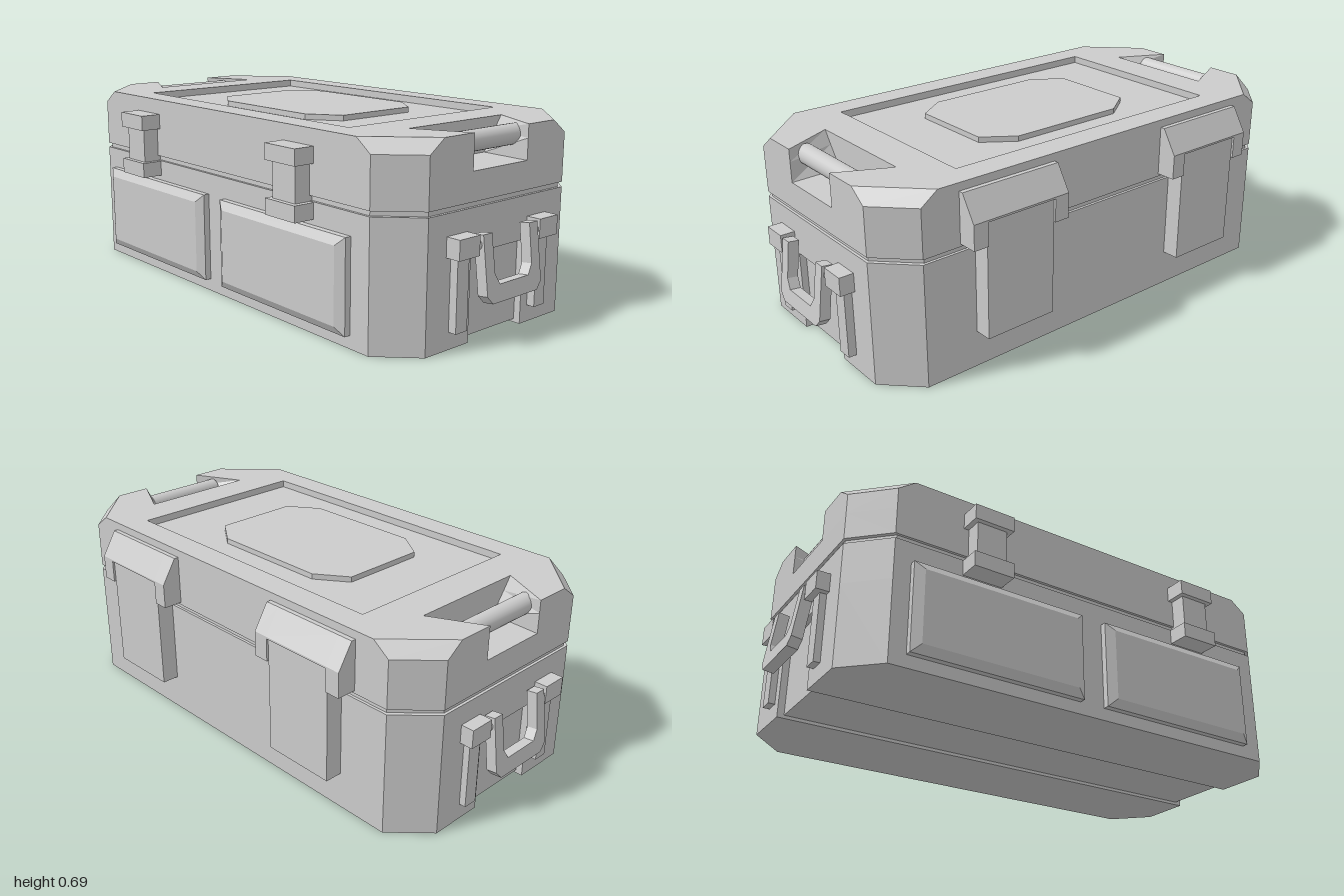
import * as THREE from 'three';

const mat = new THREE.MeshStandardMaterial({ color: 0xcccccc, flatShading: true });
const smooth = new THREE.MeshStandardMaterial({ color: 0xcccccc });
const HX = 0.921, HZ = 0.462; // half width and depth of the body

function add(parent, name, geo, material = mat) {
  const m = new THREE.Mesh(geo, material);
  m.name = name;
  parent.add(m);
  return m;
}

// box given by its min and max on every axis
function box(parent, name, x0, x1, y0, y1, z0, z1) {
  const g = new THREE.BoxGeometry(x1 - x0, y1 - y0, z1 - z0);
  return add(parent, name, g.translate((x0 + x1) / 2, (y0 + y1) / 2, (z0 + z1) / 2));
}

const toShape = pts => new THREE.Shape(pts.map(p => new THREE.Vector2(p[0], p[1])));

// plan outline (x, -z) pulled up from y0 to y1
function slab(pts, y0, y1) {
  const g = new THREE.ExtrudeGeometry(toShape(pts), { depth: y1 - y0, bevelEnabled: false });
  return g.rotateX(-Math.PI / 2).translate(0, y0, 0);
}

// flat face looking up at height y
function cap(pts, y, hole) {
  const s = toShape(pts);
  if (hole) s.holes.push(toShape(hole));
  return new THREE.ShapeGeometry(s).rotateX(-Math.PI / 2).translate(0, y, 0);
}

// side walls through plan outlines at rising heights: [[y, pts], ...]
function walls(levels) {
  const pos = [];
  for (let k = 0; k + 1 < levels.length; k++) {
    const [y0, lo] = levels[k], [y1, hi] = levels[k + 1];
    lo.forEach((p, i) => {
      const j = (i + 1) % lo.length;
      const a = [p[0], y0, -p[1]], b = [lo[j][0], y0, -lo[j][1]];
      const c = [hi[j][0], y1, -hi[j][1]], d = [hi[i][0], y1, -hi[i][1]];
      pos.push(...a, ...b, ...c, ...a, ...c, ...d);
    });
  }
  const g = new THREE.BufferGeometry();
  g.setAttribute('position', new THREE.Float32BufferAttribute(pos, 3));
  g.computeVertexNormals();
  return g;
}

const rect = (x, z) => [[x, -z], [x, z], [-x, z], [-x, -z]];
const octagon = (x, z, cx, cz) => [
  [x, -z + cz], [x, z - cz], [x - cx, z], [-x + cx, z],
  [-x, z - cz], [-x, -z + cz], [-x + cx, -z], [x - cx, -z]];

// lid outline with a flared notch in both ends
function notched(c, flare) {
  const half = [[HX, -HZ + c], [HX, -0.135], [0.73, -flare], [0.73, flare],
    [HX, 0.135], [HX, HZ - c], [HX - c, HZ]];
  const first = [HX - c, -HZ];
  const right = [first, ...half];
  return [...right, ...right.map(p => [-p[0], -p[1]])];
}

function buildBase(g) {
  const half = [[HX, 0.134], [HX, HZ - 0.126], [HX - 0.126, HZ],
    [-HX + 0.126, HZ], [-HX, HZ - 0.126], [-HX, 0.134]];
  add(g, 'baseBackHalf', slab(half, 0, 0.3));
  add(g, 'baseFrontHalf', slab(half.map(p => [p[0], -p[1]]), 0, 0.3));
  box(g, 'baseCore', -HX + 0.025, HX - 0.025, 0.012, 0.3, -0.134, 0.134);
  add(g, 'baseRim', slab(octagon(HX, HZ, 0.126, 0.126), 0.3, 0.452));
  add(g, 'seam', slab(octagon(HX - 0.01, HZ - 0.01, 0.126, 0.126), 0.45, 0.472));
}

function buildLid(g) {
  add(g, 'lidBody', slab(octagon(HX, HZ, 0.126, 0.126), 0.47, 0.57));
  const top = notched(0.19, 0.23);
  add(g, 'lidWalls', walls([
    [0.57, notched(0.126, 0.145)], [0.645, notched(0.126, 0.198)], [0.692, top]]));
  // sunken panel with a raised plate
  const well = rect(0.59, 0.362);
  add(g, 'lidTop', cap(top, 0.692, well));
  const inward = [...well].reverse();
  add(g, 'panelWalls', walls([[0.665, inward], [0.692, inward]]));
  add(g, 'panelFloor', cap(well, 0.665));
  add(g, 'topPlate', slab(octagon(0.348, 0.245, 0.115, 0.08), 0.665, 0.685));
  // grip bars across the end notches
  for (const s of [-1, 1]) {
    const bar = add(g, 'gripBar', new THREE.CylinderGeometry(0.036, 0.036, 0.34, 24), smooth);
    bar.rotation.x = Math.PI / 2;
    bar.position.set(s * 0.843, 0.648, 0);
  }
}

// drop handle with its mounts, built for the +x end
function buildEndHandle() {
  const g = new THREE.Group();
  g.name = 'endHandle';
  for (const s of [-1, 1]) {
    const z = s * 0.2;
    box(g, 'handleMount', 0.9, 0.972, 0.31, 0.378, z - 0.048, z + 0.048);
    box(g, 'mountPost', 0.9, 0.948, 0.06, 0.31, z - 0.027, z + 0.027);
    const pin = add(g, 'handlePin', new THREE.CylinderGeometry(0.018, 0.018, 0.05, 12), smooth);
    pin.rotation.x = Math.PI / 2;
    pin.position.set(0.95, 0.34, s * 0.14);
  }
  const outline = toShape([[-0.137, 0], [-0.137, -0.2], [-0.112, -0.228], [0.112, -0.228],
    [0.137, -0.2], [0.137, 0], [0.095, 0], [0.093, -0.135], [0.072, -0.17],
    [-0.072, -0.17], [-0.093, -0.135], [-0.095, 0]]);
  const geo = new THREE.ExtrudeGeometry(outline, { depth: 0.04, bevelEnabled: false });
  const loop = add(g, 'handleLoop', geo.rotateY(Math.PI / 2));
  loop.position.set(0.932, 0.37, 0);
  loop.rotation.z = 0.13;
  return g;
}

// bevelled panel on the front
function buildFrontPanel(x) {
  const g = new THREE.Group();
  g.name = 'frontPanel';
  const outer = rect(0.336, 0.164), inner = rect(0.303, 0.134);
  add(g, 'panelSides', walls([[0, outer], [0.025, outer], [0.043, inner]]));
  add(g, 'panelFace', cap(inner, 0.043));
  g.rotation.x = Math.PI / 2;
  g.position.set(x, 0.21, 0.457);
  return g;
}

function buildLatch(x) {
  const g = new THREE.Group();
  g.name = 'latch';
  box(g, 'latchTop', -0.077, 0.077, 0.578, 0.635, 0.44, 0.538);
  box(g, 'latchArm', -0.058, 0.058, 0.44, 0.59, 0.44, 0.52);
  box(g, 'latchFoot', -0.077, 0.077, 0.393, 0.45, 0.44, 0.538);
  g.position.x = x;
  return g;
}

// sloped cover, open in the middle, over a hanging strap
function buildHinge(x) {
  const g = new THREE.Group();
  g.name = 'hinge';
  const profile = (w, x0, y0) => {
    const s = toShape([[0.44, y0], [0.538, y0], [0.538, 0.572], [0.482, 0.663], [0.44, 0.663]]);
    const e = new THREE.ExtrudeGeometry(s, { depth: w, bevelEnabled: false });
    return e.rotateY(Math.PI / 2).translate(x0, 0, 0);
  };
  add(g, 'hingeCover', profile(0.28, -0.14, 0.565));
  add(g, 'hingeCheek', profile(0.058, -0.198, 0.48));
  add(g, 'hingeCheek', profile(0.058, 0.14, 0.48));
  box(g, 'hingeStrap', -0.14, 0.14, 0.135, 0.57, -0.53, -0.44);
  g.position.x = x;
  return g;
}

export function createModel() {
  const model = new THREE.Group();
  model.name = 'storageCase';
  const body = new THREE.Group();
  body.name = 'body';
  body.position.set(-0.003, 0, -0.003);
  buildBase(body);
  buildLid(body);
  model.add(body);

  const left = buildEndHandle();
  const right = buildEndHandle();
  right.rotation.y = Math.PI;
  model.add(left, right);

  for (const x of [-0.4, 0.373]) model.add(buildFrontPanel(x));
  for (const x of [-0.467, 0.453]) model.add(buildLatch(x));
  for (const x of [-0.462, 0.45]) model.add(buildHinge(x));
  return model;
}
